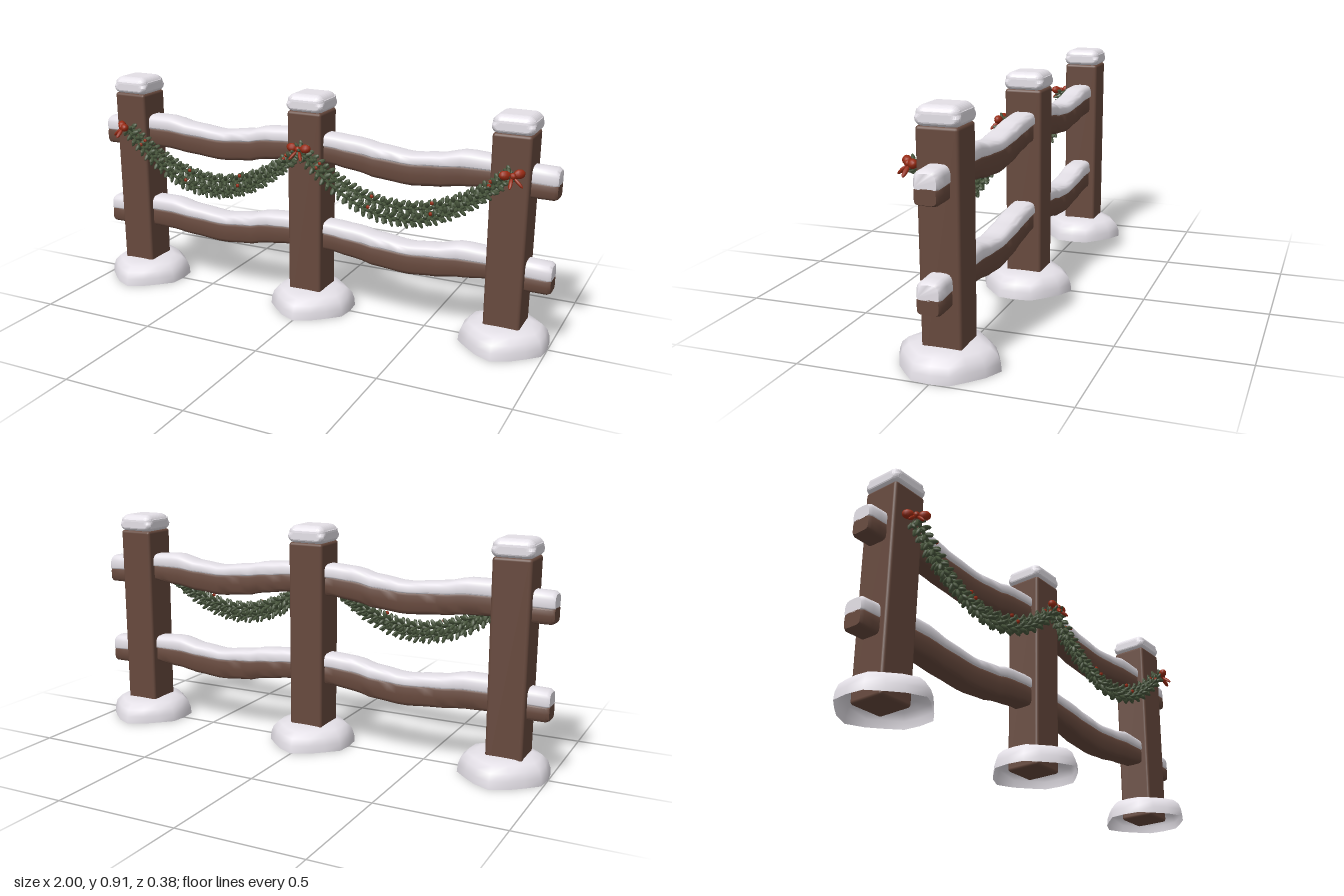
import * as THREE from 'three';
import { mergeGeometries, mergeVertices, toCreasedNormals } from 'three/addons/utils/BufferGeometryUtils.js';
import { RoundedBoxGeometry } from 'three/addons/geometries/RoundedBoxGeometry.js';

const material = (name, color, side = THREE.FrontSide) => {
  const m = new THREE.MeshStandardMaterial({ color, side });
  m.name = name;
  return m;
};

const POSTS = [-0.845, -0.007, 0.83];

// Rail heights along x: [x, wood bottom, wood top, snow top]
const RAIL = [
  [-1, 0.605, 0.673, 0.725], [-0.9, 0.605, 0.675, 0.728], [-0.78, 0.615, 0.7, 0.75], [-0.68, 0.612, 0.7, 0.75],
  [-0.56, 0.6, 0.69, 0.728], [-0.42, 0.59, 0.683, 0.715], [-0.3, 0.6, 0.692, 0.73], [-0.2, 0.62, 0.71, 0.754],
  [-0.1, 0.632, 0.716, 0.76], [0.08, 0.635, 0.715, 0.756], [0.2, 0.62, 0.704, 0.748], [0.3, 0.6, 0.692, 0.73],
  [0.43, 0.59, 0.684, 0.715], [0.53, 0.598, 0.69, 0.725], [0.65, 0.615, 0.7, 0.75], [0.76, 0.628, 0.7, 0.744],
  [0.9, 0.605, 0.672, 0.725], [1, 0.605, 0.668, 0.722],
];

function railAt(x) {
  let i = 0;
  while (i < RAIL.length - 2 && x > RAIL[i + 1][0]) i++;
  const a = RAIL[i], b = RAIL[i + 1];
  const t = THREE.MathUtils.smoothstep(x, a[0], b[0]);
  return a.map((v, k) => v + (b[k] - v) * t);
}

// Sweeps a rounded section along x; section(x) gives middle, up, down, half width
function sweep(section, power, creaseAngle) {
  const xs = [-1, -0.988];
  for (let i = 1; i < 50; i++) xs.push(-0.988 + (1.976 * i) / 50);
  xs.push(0.988, 1);
  const N = 20, pos = [], idx = [];
  const soft = v => Math.sign(v) * Math.abs(v) ** power;
  for (const x of xs) {
    const { mid, up, down, half, z } = section(x);
    const s = Math.abs(x) > 0.995 ? 0.84 : 1;
    for (let j = 0; j < N; j++) {
      const a = (j / N) * Math.PI * 2, sn = soft(Math.sin(a));
      pos.push(x, mid + s * sn * (sn > 0 ? up : down), z + s * half * soft(Math.cos(a)));
    }
  }
  for (let i = 0; i < xs.length - 1; i++) for (let j = 0; j < N; j++) {
    const a = i * N + j, b = i * N + (j + 1) % N;
    idx.push(a, a + N, b, b, a + N, b + N);
  }
  const last = (xs.length - 1) * N;
  for (let j = 1; j < N - 1; j++) idx.push(0, j, j + 1, last, last + j + 1, last + j);
  const g = new THREE.BufferGeometry();
  g.setAttribute('position', new THREE.Float32BufferAttribute(pos, 3));
  g.setIndex(idx);
  return toCreasedNormals(g, creaseAngle);
}

// Hollow drift of snow with slightly pointed front and back
function moundGeometry() {
  const profile = [[1, 0], [0.985, 0.03], [0.93, 0.058], [0.8, 0.08], [0.6, 0.09], [0.3, 0.092]];
  const radii = [0.192, 0.173, 0.164, 0.178, 0.172];
  const g = new THREE.LatheGeometry(profile.map(p => new THREE.Vector2(...p)).reverse(), 16);
  const p = g.attributes.position;
  for (let i = 0; i < p.count; i++) {
    const k = i / profile.length | 0, q = k % 8;
    const r = radii[q > 4 ? 8 - q : q];
    p.setXYZ(i, p.getX(i) * r, p.getY(i), p.getZ(i) * r);
  }
  g.deleteAttribute('uv');
  g.deleteAttribute('normal');
  const welded = mergeVertices(g, 1e-4);
  welded.computeVertexNormals();
  return welded;
}

// Snow pillow: rounded box narrowed and domed at the top
function capGeometry() {
  const g = new RoundedBoxGeometry(0.16, 0.076, 0.16, 4, 0.032);
  const p = g.attributes.position;
  for (let i = 0; i < p.count; i++) {
    const x = p.getX(i), y = p.getY(i), z = p.getZ(i);
    const r2 = (x * x + z * z) / 0.0064;
    if (y > 0.02) p.setY(i, y - 0.004 * r2);
    if (y < -0.006) p.setXYZ(i, THREE.MathUtils.clamp(x * 1.06, -0.08, 0.08), y, THREE.MathUtils.clamp(z * 1.06, -0.08, 0.08));
  }
  g.computeVertexNormals();
  return g;
}

const UP = new THREE.Vector3(0, 1, 0);

// Ellipsoid whose long axis follows dir
function blob(center, dir, length, width, thick, segs = 6, rings = 4) {
  const m = new THREE.Matrix4().compose(center,
    new THREE.Quaternion().setFromUnitVectors(UP, dir.clone().normalize()),
    new THREE.Vector3(width / 2, length / 2, thick / 2));
  return new THREE.SphereGeometry(1, segs, rings).applyMatrix4(m);
}

export function createModel() {
  const wood = material('wood', 0x67493d);
  const snow = material('snow', 0xe4e0e7, THREE.DoubleSide);
  const green = material('leaf green', 0x48563c);
  const red = material('ribbon red', 0x982a12);

  const model = new THREE.Group();
  model.name = 'snowyFence';
  const add = (name, geometry, mat, x = 0, y = 0, z = 0, parent = model) => {
    const mesh = new THREE.Mesh(geometry, mat);
    mesh.name = name;
    mesh.position.set(x, y, z);
    parent.add(mesh);
    return mesh;
  };

  // Posts with snow caps and drifts at the foot
  const postGeo = new RoundedBoxGeometry(0.148, 0.835, 0.152, 2, 0.012);
  const pp = postGeo.attributes.position;
  for (let i = 0; i < pp.count; i++) {
    const s = 0.97 + 0.035 * (pp.getY(i) / 0.835 + 0.5);
    pp.setX(i, pp.getX(i) * s);
    pp.setZ(i, pp.getZ(i) * s);
  }
  const cap = capGeometry(), mound = moundGeometry();
  POSTS.forEach((x, i) => {
    add('post', postGeo, wood, x, 0.4275, -0.003);
    add('snowCap', cap, snow, x, 0.878, -0.004);
    add('snowDrift', mound, snow, [-0.828, 0, 0.828][i], 0, 0);
  });

  // Two wavy rails, each with a layer of snow
  const woodRail = sweep(x => {
    const [, b, t] = railAt(x);
    return { mid: (b + t) / 2, up: (t - b) / 2, down: (t - b) / 2, half: 0.045, z: -0.003 };
  }, 0.4, 0.8);
  const snowRail = sweep(x => {
    const [, , t, s] = railAt(x);
    return { mid: t - 0.002, up: s - t + 0.002, down: 0.008, half: Math.abs(x) > 0.9 ? 0.046 : 0.05, z: -0.004 };
  }, 0.55, 0.9);
  for (const [name, y] of [['upperRail', 0], ['lowerRail', -0.368]]) {
    add(name, woodRail, wood, 0, y);
    add(name + 'Snow', snowRail, snow, 0, y);
  }

  // Garland: two leafy strands in each span
  const leaves = [], berries = [];
  const spans = [[-0.838, -0.007], [-0.007, 0.832]];
  for (const [x0, x1] of spans) {
    for (const [sag, z, turn] of [[0.185, 0.084, 0], [0.225, 0.11, 0.4]]) {
      const pts = [];
      for (let i = 0; i <= 16; i++) {
        const t = i / 8 - 1;
        pts.push(new THREE.Vector3(x0 + (x1 - x0) * i / 16, 0.7 - sag * (1 - t * t), z));
      }
      const curve = new THREE.CatmullRomCurve3(pts);
      leaves.push(new THREE.TubeGeometry(curve, 32, 0.007, 5));
      const count = 34;
      for (let i = 0; i <= count; i++) {
        const p = curve.getPointAt(i / count), tan = curve.getTangentAt(i / count);
        const n = new THREE.Vector3(-tan.y, tan.x, 0), out = new THREE.Vector3(0, 0, 1);
        for (let k = 0; k < 5; k++) {
          const a = (k / 5) * Math.PI * 2 + turn + (i % 2) * 0.63;
          const dir = n.clone().multiplyScalar(Math.cos(a)).addScaledVector(out, Math.sin(a)).addScaledVector(tan, 0.45).normalize();
          leaves.push(blob(p.clone().addScaledVector(dir, 0.019), dir, 0.036, 0.019, 0.014));
        }
        if (i % 9 === 4) berries.push(blob(p.clone().add(new THREE.Vector3(0, 0.022, 0.02)), UP, 0.016, 0.016, 0.016));
      }
    }
  }
  add('garlandLeaves', mergeGeometries(leaves), green);
  add('garlandBerries', mergeGeometries(berries), red);

  // Bows: two puffy loops, a knot and two tails
  const v = (x, y, z) => new THREE.Vector3(x, y, z);
  const parts = [blob(v(0, 0, 0.006), UP, 0.026, 0.024, 0.026, 10, 8)];
  for (const s of [-1, 1]) {
    parts.push(blob(v(s * 0.029, 0.004, 0), v(s, 0.15, 0), 0.046, 0.036, 0.034, 10, 8));
    const d = v(s * 0.45, -0.65, 0.6).normalize();
    parts.push(blob(d.clone().multiplyScalar(0.034), d, 0.052, 0.017, 0.013, 8, 6));
  }
  const bowGeo = mergeGeometries(parts);
  [[-0.853, -0.75], [-0.006, 0], [0.85, 0.75]].forEach(([x, turn]) => {
    add('bow', bowGeo, red, x, 0.706, 0.118).rotation.y = turn;
  });

  return model;
}
